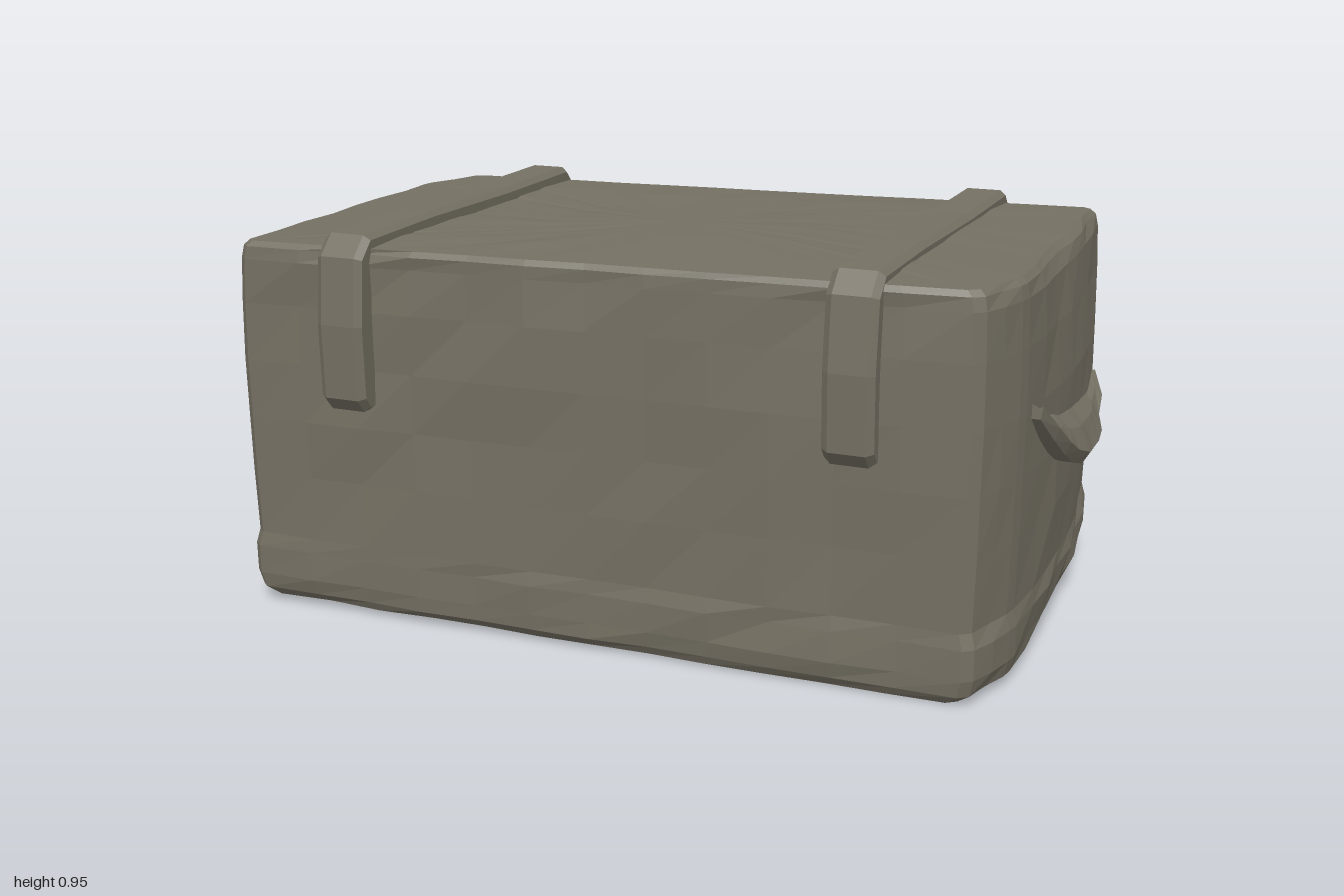
import * as THREE from 'three';

// Small seeded generator for the crumpled surface
let seed = 7;
const rand = () => {
  seed = (seed * 16807) % 2147483647;
  return seed / 2147483647 - 0.5;
};

const material = new THREE.MeshStandardMaterial({ color: 0x757063, flatShading: true });
material.name = 'weathered olive';

function surface(name, positions, indices) {
  const geo = new THREE.BufferGeometry();
  geo.setAttribute('position', new THREE.Float32BufferAttribute(positions, 3));
  geo.setIndex(indices);
  geo.computeVertexNormals();
  const mesh = new THREE.Mesh(geo, material);
  mesh.name = name;
  return mesh;
}

// Plan outline of the box (x, z): front, right end, back, left end
const corners = [[-0.59, 0.89], [1, 0.09], [0.985, -0.08], [0.58, -0.9], [-1, -0.11], [-0.985, 0.08]];
const divisions = [12, 2, 7, 12, 2, 7];

function makeOutline() {
  const points = [];
  corners.forEach(([ax, az], i) => {
    const [bx, bz] = corners[(i + 1) % corners.length];
    const length = Math.hypot(bx - ax, bz - az);
    const nx = -(bz - az) / length, nz = (bx - ax) / length;
    const isEnd = i % 3 === 2;
    const n = divisions[i];
    // start and stop just short of the corner so it is blunted
    const cut = 0.018 / length;
    for (let k = 0; k <= n; k++) {
      const t = cut + (1 - 2 * cut) * k / n;
      points.push({
        x: ax + (bx - ax) * t, z: az + (bz - az) * t, nx, nz,
        bulge: isEnd ? 0.04 * Math.sin(Math.PI * t) : 0,
        edge: k === 0 || k === n,
      });
    }
  });
  return points;
}

// Box body: rings of the outline stacked up, with a slightly flared foot
function makeBody() {
  const outline = makeOutline();
  // height, inset, share of the end bulge
  const levels = [
    [0.0, 0.045, 0], [0.022, 0.012, 0.3], [0.06, 0.002, 0.5], [0.13, 0.002, 0.7], [0.165, 0.012, 0.8],
    [0.32, 0.008, 1], [0.46, 0.006, 1], [0.6, 0.004, 0.9], [0.74, 0.006, 0.6], [0.845, 0.01, 0.3],
    [0.875, 0.016, 0.1], [0.888, 0.03, 0],
  ];
  const pos = [], idx = [], n = outline.length;
  levels.forEach(([h, inset, bulge]) => {
    for (const p of outline) {
      const base = 0.04 - 0.02 * p.x - 0.02 * p.z;
      const top = 0.926 + 0.012 * p.x;
      const out = p.bulge * bulge + (p.edge ? 0 : rand() * 0.012);
      const s = 1 - inset;
      pos.push(p.x * s + p.nx * out, base + (top - base) * h / 0.888, p.z * s + p.nz * out);
    }
  });
  for (let j = 0; j < levels.length - 1; j++) {
    for (let i = 0; i < n; i++) {
      const a = j * n + i, b = j * n + (i + 1) % n;
      idx.push(a, b, b + n, a, b + n, a + n);
    }
  }
  // lid and underside, each a shrinking set of rings closed by a centre point
  for (const [start, up] of [[(levels.length - 1) * n, true], [0, false]]) {
    let previous = start;
    for (const s of [0.7, 0.35]) {
      const ring = pos.length / 3;
      for (let i = 0; i < n; i++) {
        const o = (start + i) * 3;
        pos.push(pos[o] * s, pos[o + 1] + rand() * 0.006 + (up ? 0.006 : 0), pos[o + 2] * s);
      }
      for (let i = 0; i < n; i++) {
        const k = (i + 1) % n;
        const q = [previous + i, previous + k, ring + k, ring + i];
        if (!up) q.reverse();
        idx.push(q[0], q[1], q[2], q[0], q[2], q[3]);
      }
      previous = ring;
    }
    const centre = pos.length / 3;
    pos.push(0, up ? 0.933 : 0.04, 0);
    for (let i = 0; i < n; i++) {
      const a = previous + i, b = previous + (i + 1) % n;
      idx.push(centre, up ? a : b, up ? b : a);
    }
  }
  return surface('crateBody', pos, idx);
}

// Strap: a bracket over the lid that hangs down the front and back walls
function makeStrap(name, front, back, lift) {
  const length = Math.hypot(front[0] - back[0], front[1] - back[1]);
  const h = length / 2, y = 0.942 + lift;
  const profile = [
    [-h, 0.58], [-h + 0.02, 0.555], [-h + 0.07, 0.555], [-h + 0.07, 0.88], [h - 0.07, 0.88], [h - 0.07, 0.555],
    [h - 0.02, 0.555], [h, 0.58], [h + 0.005, 0.75], [h - 0.01, y - 0.04], [h - 0.05, y],
    [h * 0.4, y + 0.004], [-h * 0.3, y - 0.002], [-h + 0.05, y], [-h + 0.01, y - 0.04], [-h - 0.005, 0.75],
  ];
  const shape = new THREE.Shape(profile.map(([u, v]) => new THREE.Vector2(u, v)));
  const geo = new THREE.ExtrudeGeometry(shape, {
    depth: 0.085, bevelEnabled: true, bevelThickness: 0.016, bevelSize: 0.012, bevelSegments: 1,
  });
  geo.translate(0, 0, -0.0425);
  const mesh = new THREE.Mesh(geo, material);
  mesh.name = name;
  // local +x runs from the back wall to the front wall
  mesh.rotation.y = -Math.atan2(front[1] - back[1], front[0] - back[0]);
  mesh.position.set((front[0] + back[0]) / 2, 0, (front[1] + back[1]) / 2);
  return mesh;
}

// Carrying handle: a sagging ledge that slopes back into the end wall
function makeHandle(name) {
  const pos = [], idx = [], steps = 10, across = 5;
  const start = [0.96, -0.13], end = [0.655, -0.745];
  const nx = 0.897, nz = -0.443;
  for (let i = 0; i <= steps; i++) {
    const t = i / steps;
    const arch = Math.sin(Math.PI * t);
    const low = 0.43 + 0.14 * Math.pow(Math.abs(2 * t - 1.15), 2.2);
    const high = low + 0.05 + 0.13 * arch;
    const reach = 0.025 + 0.065 * Math.pow(arch, 0.6) + rand() * 0.012;
    const section = [[-0.03, low], [reach * 0.8, low], [reach, low + 0.03], [reach * 0.7, (low + high) / 2], [-0.03, high]];
    for (const [out, y] of section) {
      pos.push(start[0] + (end[0] - start[0]) * t + nx * out, y, start[1] + (end[1] - start[1]) * t + nz * out);
    }
  }
  for (let i = 0; i < steps; i++) {
    for (let j = 0; j < across; j++) {
      const k = (j + 1) % across;
      const a = i * across + j, b = i * across + k;
      idx.push(a, a + across, b + across, a, b + across, b);
    }
  }
  const last = steps * across;
  for (let j = 1; j < across - 1; j++) {
    idx.push(0, j, j + 1, last, last + j + 1, last + j);
  }
  return surface(name, pos, idx);
}

export function createModel() {
  seed = 7;
  const crate = new THREE.Group();
  crate.name = 'crate';
  crate.add(makeBody());
  crate.add(makeStrap('rightStrap', [-0.305, 0.785], [-0.785, -0.235], 0));
  crate.add(makeStrap('leftStrap', [0.765, 0.235], [0.295, -0.795], 0.008));
  crate.add(makeHandle('leftHandle'));
  const opposite = makeHandle('rightHandle');
  opposite.rotation.y = Math.PI;
  crate.add(opposite);
  return crate;
}
